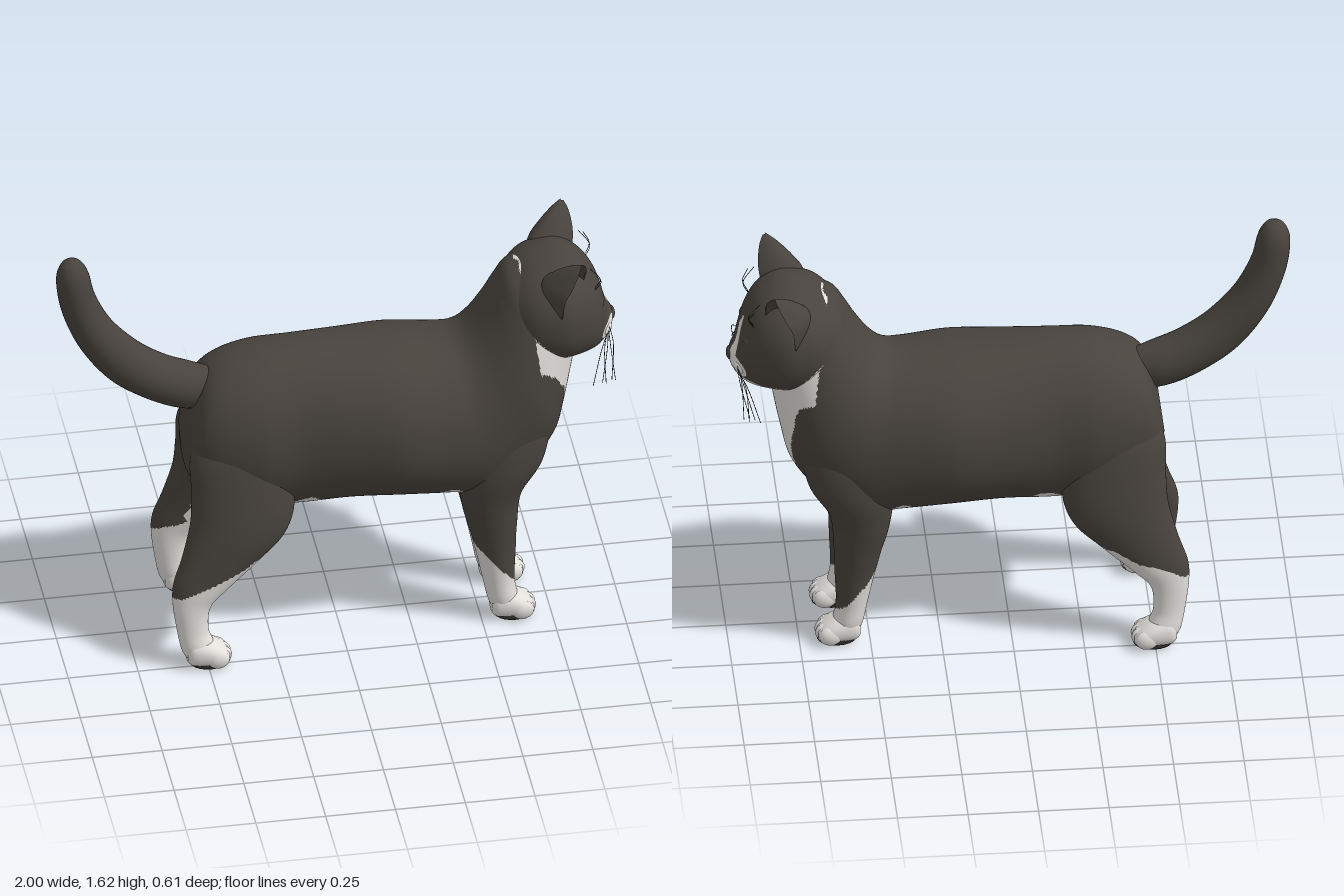
import * as THREE from 'three';

const mat = (name, color) => Object.assign(new THREE.MeshStandardMaterial({ color }), { name });
const fur = mat('darkFur', 0x48433d);
const white = mat('whiteFur', 0xe2dfdb);
const black = mat('blackDetail', 0x24211e);

const catmull = (a, b, c, d, t) =>
  0.5 * (2 * b + (c - a) * t + (2 * a - 5 * b + 4 * c - d) * t * t + (3 * b - a - 3 * c + d) * t * t * t);

// Linear lookup in a list of [key, value] pairs
function ramp(pairs, k) {
  if (k <= pairs[0][0]) return pairs[0][1];
  for (let i = 1; i < pairs.length; i++) {
    const [k0, v0] = pairs[i - 1], [k1, v1] = pairs[i];
    if (k <= k1) return v0 + (v1 - v0) * (k - k0) / (k1 - k0);
  }
  return pairs[pairs.length - 1][1];
}

// Smooth skin over cross-sections [xa, ya, xb, yb, z, halfWidth]:
// a and b are opposite outline points in the side plane.
// isWhite(p) picks the fur colour of each face.
function loft(name, sections, { n = 48, steps = 8, power = 2, cup = false, isWhite = () => false } = {}) {
  const pos = [], last = sections.length - 1, rings = last * steps;
  const at = (i) => sections[Math.max(0, Math.min(last, i))];
  const se = (v) => Math.sign(v) * Math.abs(v) ** (2 / power);
  const centres = [];
  for (let r = 0; r <= rings; r++) {
    const i = Math.min(Math.floor(r / steps), last - 1), t = r / steps - i;
    const [xa, ya, xb, yb, z, w] = at(i).map((_, k) =>
      catmull(at(i - 1)[k], at(i)[k], at(i + 1)[k], at(i + 2)[k], t));
    centres.push([(xa + xb) / 2, (ya + yb) / 2, z]);
    for (let j = 0; j < n; j++) {
      const ang = j / n * Math.PI * 2;
      let c = se(Math.cos(ang));
      if (cup) c = c >= 0 ? 2 * c - 1 : -1 - 1.2 * c;
      pos.push((xa + xb) / 2 + c * (xb - xa) / 2, (ya + yb) / 2 + c * (yb - ya) / 2, z + se(Math.sin(ang)) * w);
    }
  }
  pos.push(...centres[0], ...centres[rings]);
  const lists = [[], []], p = new THREE.Vector3();
  const face = (...f) => {
    p.set(0, 0, 0);
    f.forEach((v) => { p.x += pos[v * 3] / 3; p.y += pos[v * 3 + 1] / 3; p.z += pos[v * 3 + 2] / 3; });
    lists[isWhite(p) ? 1 : 0].push(...f);
  };
  const startTip = (rings + 1) * n;
  for (let j = 0; j < n; j++) {
    const k = (j + 1) % n;
    for (let r = 0; r < rings; r++) {
      const a = r * n, b = a + n;
      face(a + j, a + k, b + j);
      face(a + k, b + k, b + j);
    }
    face(startTip, k, j);
    face(startTip + 1, rings * n + j, rings * n + k);
  }
  const geo = new THREE.BufferGeometry();
  geo.setAttribute('position', new THREE.Float32BufferAttribute(pos, 3));
  geo.setIndex(lists.flat());
  geo.addGroup(0, lists[0].length, 0);
  geo.addGroup(lists[0].length, lists[1].length, 1);
  geo.computeVertexNormals();
  const mesh = new THREE.Mesh(geo, [fur, white]);
  mesh.name = name;
  return mesh;
}

function blob(name, material, x, y, z, rx, ry, rz) {
  const mesh = new THREE.Mesh(new THREE.SphereGeometry(1, 20, 14), material);
  mesh.name = name;
  mesh.position.set(x, y, z);
  mesh.scale.set(rx, ry, rz);
  return mesh;
}

function hair(name, ...pts) {
  const curve = new THREE.CatmullRomCurve3(pts.map((q) => new THREE.Vector3(...q)));
  const mesh = new THREE.Mesh(new THREE.TubeGeometry(curve, 10, 0.0012, 4), black);
  mesh.name = name;
  return mesh;
}

// Ragged edge for the fur markings
const ragged = (p) => 0.005 * Math.sin(p.x * 40 + p.z * 35) + 0.003 * Math.sin(p.z * 90 - p.x * 35);

// White bib on the chest and white belly
const bibLeft = [[0.5, 0.03], [0.6, 0.04], [0.72, 0.03], [0.85, 0.09], [0.95, 0.14], [1.03, 0.195], [1.1, 0.24]];
const bibRight = [[0.5, 0.04], [0.6, 0.07], [0.75, 0.1], [0.9, 0.15], [0.98, 0.185], [1.05, 0.21], [1.1, 0.24]];
const bump = (x, c, w) => Math.exp(-(((x - c) / w) ** 2));
function bodyWhite(p) {
  const e = ragged(p);
  if (p.x > 0.56 && p.x > 0.68 + (1.22 - p.y) * 0.15 + e && p.y > 0.55)
    return p.z < ramp(bibLeft, p.y) + e && -p.z < ramp(bibRight, p.y) + e;
  if (p.x > 0.56) return p.y < 0.75 && p.z < 0.04 + e && p.z > -0.07 + e;
  return p.x > -0.42 && p.y < 0.56 + 0.06 * bump(p.x, -0.12, 0.08) + 0.06 * bump(p.x, 0.39, 0.05) + e;
}

// White throat, rounded muzzle patches and off-centre blaze
function headWhite(p) {
  const e = ragged(p) * 0.5, az = Math.abs(p.z);
  if (p.y < 1.12 + Math.max(0, 0.79 - p.x) * 1.0 + e) return p.x > 0.67 && (p.x < 0.925 || az > 0.035);
  if (p.x > 0.9 && az > 0.026 && ((az - 0.06) / 0.055) ** 2 + ((p.y - 1.158) / 0.038) ** 2 < 1) return true;
  const mid = -0.01 - Math.max(0, 1.29 - p.y) * 0.32;
  return p.x > 0.86 && p.y > 1.18 && p.y < 1.335 && Math.abs(p.z - mid) < 0.022 * Math.min(1, (1.35 - p.y) * 18) + e * 0.5;
}

function paw(name, x0, z) {
  const g = new THREE.Group();
  g.name = name;
  g.add(loft('pawBase', [
    [x0, 0.03, x0, 0.08, z, 0.035], [x0 + 0.02, 0.01, x0 + 0.02, 0.12, z, 0.054],
    [x0 + 0.08, 0.008, x0 + 0.08, 0.11, z, 0.062], [x0 + 0.13, 0.01, x0 + 0.13, 0.08, z, 0.058],
    [x0 + 0.15, 0.02, x0 + 0.15, 0.06, z, 0.04],
  ], { n: 28, steps: 5, power: 2.3, isWhite: () => true }));
  for (const k of [-1.5, -0.5, 0.5, 1.5])
    g.add(blob('toe', white, x0 + 0.125 - Math.abs(k) * 0.012, 0.044, z + k * 0.029, 0.041, 0.036, 0.023));
  g.add(blob('solePad', black, x0 + 0.082, 0.011, z, 0.07, 0.008, 0.053));
  return g;
}

export function createModel() {
  const cat = new THREE.Group();
  cat.name = 'cat';

  // Trunk sweeping up into the neck
  cat.add(loft('body', [
    [-0.55, 0.78, -0.53, 0.94, 0, 0.11], [-0.535, 0.68, -0.49, 1.06, 0, 0.175], [-0.45, 0.6, -0.42, 1.125, 0, 0.22],
    [-0.3, 0.55, -0.3, 1.16, 0, 0.248], [-0.15, 0.535, -0.15, 1.17, 0, 0.243], [0.03, 0.55, 0.03, 1.165, 0, 0.272],
    [0.2, 0.55, 0.2, 1.16, 0, 0.3], [0.38, 0.53, 0.36, 1.15, 0, 0.28], [0.55, 0.515, 0.43, 1.16, 0, 0.262],
    [0.68, 0.61, 0.48, 1.2, 0, 0.252], [0.775, 0.74, 0.53, 1.27, 0, 0.245], [0.81, 0.87, 0.57, 1.34, 0, 0.23],
    [0.835, 1, 0.61, 1.4, 0, 0.21], [0.85, 1.09, 0.68, 1.43, 0, 0.19],
  ], { n: 120, steps: 14, power: 2.15, isWhite: bodyWhite }));

  // Tail
  cat.add(loft('tail', [
    [-0.3, 1.08, -0.36, 1.0, 0, 0.04], [-0.42, 1.092, -0.49, 0.95, 0, 0.062], [-0.51, 1.122, -0.58, 0.962, 0, 0.082],
    [-0.6, 1.16, -0.7, 1.02, 0, 0.085], [-0.7, 1.23, -0.82, 1.11, 0, 0.08], [-0.8, 1.34, -0.92, 1.25, 0, 0.077],
    [-0.86, 1.46, -0.98, 1.4, 0, 0.07], [-0.885, 1.56, -1, 1.53, 0, 0.062], [-0.91, 1.605, -0.985, 1.595, 0, 0.04],
    [-0.935, 1.62, -0.955, 1.62, 0, 0.01],
  ], { n: 32 }));

  // Head
  cat.add(loft('head', [
    [0.58, 1.2, 0.58, 1.32, 0, 0.08], [0.62, 1.13, 0.62, 1.385, 0, 0.16], [0.68, 1.09, 0.68, 1.435, 0, 0.213],
    [0.76, 1.065, 0.76, 1.46, 0, 0.232], [0.82, 1.065, 0.82, 1.455, 0, 0.226], [0.88, 1.07, 0.88, 1.42, 0, 0.192],
    [0.92, 1.075, 0.92, 1.37, 0, 0.15], [0.945, 1.085, 0.945, 1.31, 0, 0.11], [0.965, 1.105, 0.965, 1.235, 0, 0.08],
    [0.982, 1.13, 0.982, 1.205, 0, 0.045], [0.99, 1.155, 0.99, 1.19, 0, 0.02],
  ], { n: 128, steps: 14, power: 2.3, isWhite: headWhite }));
  cat.add(blob('nose', fur, 0.982, 1.172, 0, 0.018, 0.026, 0.03));
  cat.add(blob('chin', fur, 0.945, 1.112, 0, 0.025, 0.02, 0.032));

  for (const s of [1, -1]) {
    const side = s > 0 ? 'left' : 'right';

    // Ear, hollow and turned half outwards
    const ear = loft(side + 'Ear', [
      [0.04, 1.32, -0.08, 1.33, 0, 0.07], [0.055, 1.4, -0.075, 1.41, 0, 0.076],
      [0.075, 1.45, -0.03, 1.46, s * 0.003, 0.059], [0.088, 1.5, 0.03, 1.503, s * 0.008, 0.031],
      [0.09, 1.527, 0.078, 1.527, s * 0.012, 0.008],
    ], { n: 40, cup: true });
    ear.position.set(0.78, 0, s * 0.15);
    ear.rotation.y = -s * 0.6;
    cat.add(ear);

    // Closed eye and whisker pad
    const eye = blob(side + 'Eyelid', fur, 0.916, 1.278, s * 0.095, 0.028, 0.022, 0.036);
    eye.rotation.y = -s * 0.5;
    cat.add(eye);
    cat.add(hair(side + 'EyeLine', [0.941, 1.272, s * 0.065], [0.944, 1.27, s * 0.09], [0.925, 1.276, s * 0.125]));
    cat.add(blob(side + 'WhiskerPad', white, 0.945, 1.158, s * 0.056, 0.034, 0.032, 0.045));

    // Whiskers and brow hairs
    for (let i = 0; i < 5; i++) {
      const y = 1.17 - 0.008 * i, reach = 0.29 - 0.028 * i;
      cat.add(hair(side + 'Whisker', [0.965, y, s * 0.065], [0.965 - 0.008 * i, y - 0.01 - 0.008 * i, s * (reach + 0.06) / 2],
        [0.94 - 0.012 * i + 0.03 * (i % 2), 1.085 - 0.025 * i, s * reach]));
    }
    for (let i = 0; i < 2; i++)
      cat.add(hair(side + 'BrowHair', [0.91, 1.35, s * (0.1 + 0.01 * i)], [0.93, 1.39, s * (0.11 + 0.015 * i)],
        [0.89 + 0.02 * i, 1.45 - 0.02 * i, s * (0.12 + 0.02 * i)]));

    // Front leg
    const cuff = s > 0 ? 0.17 : 0.14;
    cat.add(loft(side + 'FrontLeg', [
      [0.5, 0.96, 0.66, 0.97, s * 0.11, 0.05], [0.43, 0.83, 0.74, 0.85, s * 0.13, 0.1],
      [0.415, 0.66, 0.72, 0.69, s * 0.14, 0.105], [0.43, 0.5, 0.645, 0.55, s * 0.128, 0.094],
      [0.46, 0.38, 0.628, 0.4, s * 0.12, 0.081], [0.485, 0.27, 0.624, 0.28, s * 0.116, 0.07],
      [0.508, 0.16, 0.62, 0.17, s * 0.116, 0.061], [0.522, 0.09, 0.63, 0.1, s * 0.117, 0.058],
      [0.54, 0.04, 0.64, 0.05, s * 0.118, 0.045],
    ], { n: 56, steps: 10, isWhite: (p) => p.y < cuff + (0.62 - p.x) * 1.15 + ragged(p) }));
    cat.add(paw(side + 'FrontPaw', 0.535, s * 0.118));

    // Hind leg, white inside the thigh with a dark strip behind
    const strip = [[0.16, -0.57], [0.3, -0.54], [0.44, -0.48], [0.6, -0.4]];
    const hindWhite = (p) => {
      const e = ragged(p), z = p.z * s, front = p.x > ramp(strip, p.y) + e;
      if (s > 0 && z < 0.215 && p.y > 0.16 + e && !front) return false;
      return p.y < 0.3 + (p.x + 0.6) * 0.42 + e || (z < 0.165 + e && p.y < 0.62 && front);
    };
    cat.add(loft(side + 'HindLeg', [
      [-0.46, 0.98, -0.28, 1.0, s * 0.1, 0.06], [-0.54, 0.83, -0.2, 0.86, s * 0.135, 0.091],
      [-0.545, 0.69, -0.175, 0.64, s * 0.165, 0.095], [-0.552, 0.57, -0.21, 0.51, s * 0.187, 0.086],
      [-0.585, 0.44, -0.31, 0.41, s * 0.207, 0.068], [-0.618, 0.34, -0.42, 0.31, s * 0.22, 0.055],
      [-0.622, 0.26, -0.485, 0.24, s * 0.226, 0.047], [-0.608, 0.15, -0.495, 0.15, s * 0.232, 0.046],
      [-0.592, 0.07, -0.475, 0.09, s * 0.238, 0.052], [-0.57, 0.03, -0.47, 0.04, s * 0.24, 0.04],
    ], { n: 56, steps: 10, isWhite: hindWhite }));
    cat.add(paw(side + 'HindPaw', -0.575, s * 0.24));
  }
  return cat;
}
